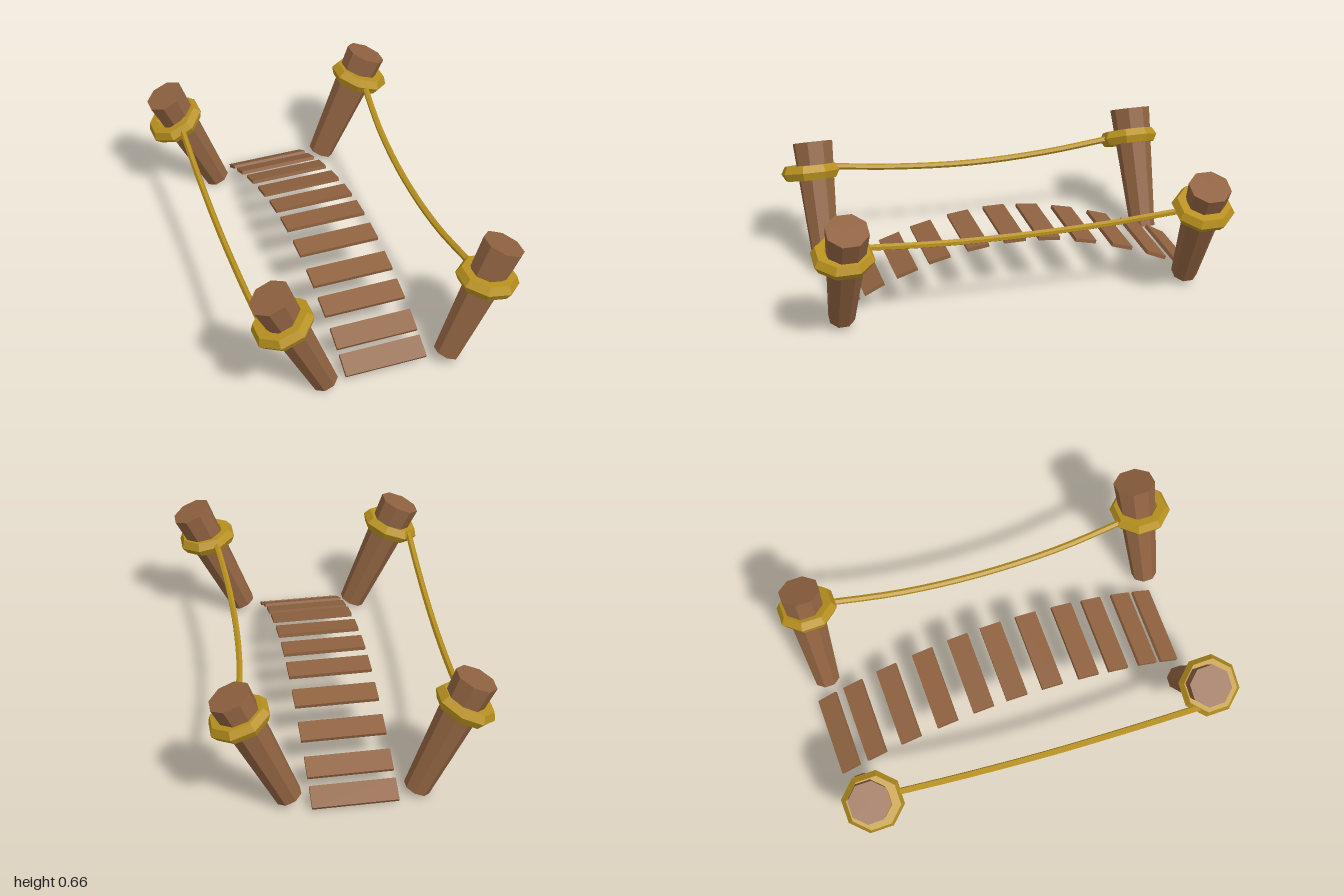
import * as THREE from 'three';

const V = (x, y, z) => new THREE.Vector3(x, y, z);
const UP = V(0, 1, 0);

export function createModel() {
  const group = new THREE.Group();
  const wood = new THREE.MeshStandardMaterial({ color: 0x8f6240, flatShading: true });
  const rope = new THREE.MeshStandardMaterial({ color: 0xb8911f, flatShading: true });

  const add = (name, geometry, material) => {
    const mesh = new THREE.Mesh(geometry, material);
    mesh.name = name;
    group.add(mesh);
    return mesh;
  };

  // Tapered octagonal post leaning outward, from foot to head
  function post(name, foot, head) {
    const dir = head.clone().sub(foot);
    const geo = new THREE.CylinderGeometry(0.102, 0.064, dir.length(), 8);
    geo.rotateY(Math.PI / 8);
    const mesh = add(name, geo, wood);
    mesh.position.copy(foot).add(head).multiplyScalar(0.5);
    mesh.quaternion.setFromUnitVectors(UP, dir.normalize());
  }

  // Chunky rope loop, tilted about z
  function loop(name, center, tilt) {
    const geo = new THREE.TorusGeometry(0.108, 0.042, 6, 8);
    geo.rotateX(Math.PI / 2);
    geo.rotateY(Math.PI / 8);
    const mesh = add(name, geo, rope);
    mesh.position.copy(center);
    mesh.rotation.z = THREE.MathUtils.degToRad(tilt);
  }

  post('rightFrontPost', V(-0.295, 0.03, 0.805), V(-0.548, 0.6, 0.805));
  post('rightBackPost', V(-0.295, 0.03, -0.878), V(-0.548, 0.6, -0.878));
  post('leftFrontPost', V(0.295, 0.055, 0.84), V(0.55, 0.623, 0.84));
  post('leftBackPost', V(0.295, 0.055, -0.877), V(0.55, 0.623, -0.877));

  loop('rightFrontLoop', V(-0.502, 0.46, 0.83), 21);
  loop('rightBackLoop', V(-0.508, 0.455, -0.86), 27);
  loop('leftFrontLoop', V(0.472, 0.46, 0.852), -11);
  loop('leftBackLoop', V(0.508, 0.5, -0.865), -20);

  // Sagging handrail ropes
  const handrails = {
    rightHandrail: [V(-0.5, 0.465, -0.78), V(-0.522, 0.416, -0.4), V(-0.545, 0.394, 0),
      V(-0.567, 0.41, 0.4), V(-0.587, 0.448, 0.76)],
    leftHandrail: [V(0.505, 0.5, -0.79), V(0.451, 0.45, -0.4), V(0.421, 0.43, 0),
      V(0.417, 0.438, 0.4), V(0.437, 0.475, 0.77)],
  };
  for (const [name, points] of Object.entries(handrails)) {
    add(name, new THREE.TubeGeometry(new THREE.CatmullRomCurve3(points), 16, 0.016, 6), rope);
  }

  // Arched walkway planks: z, y, pitch in degrees
  const planks = [
    [-0.905, 0.051, -30], [-0.765, 0.115, -24], [-0.584, 0.186, -18], [-0.393, 0.243, -13],
    [-0.207, 0.281, -7], [-0.035, 0.293, 0], [0.149, 0.28, 7], [0.34, 0.243, 13],
    [0.5, 0.193, 18], [0.661, 0.13, 26], [0.781, 0.067, 31],
  ];
  const plankGeo = new THREE.BoxGeometry(0.4, 0.018, 0.108);
  planks.forEach(([z, y, pitch], i) => {
    const plank = add(`plank${i + 1}`, plankGeo, wood);
    plank.position.set(0, y, z);
    plank.rotation.x = THREE.MathUtils.degToRad(pitch);
  });

  return group;
}
